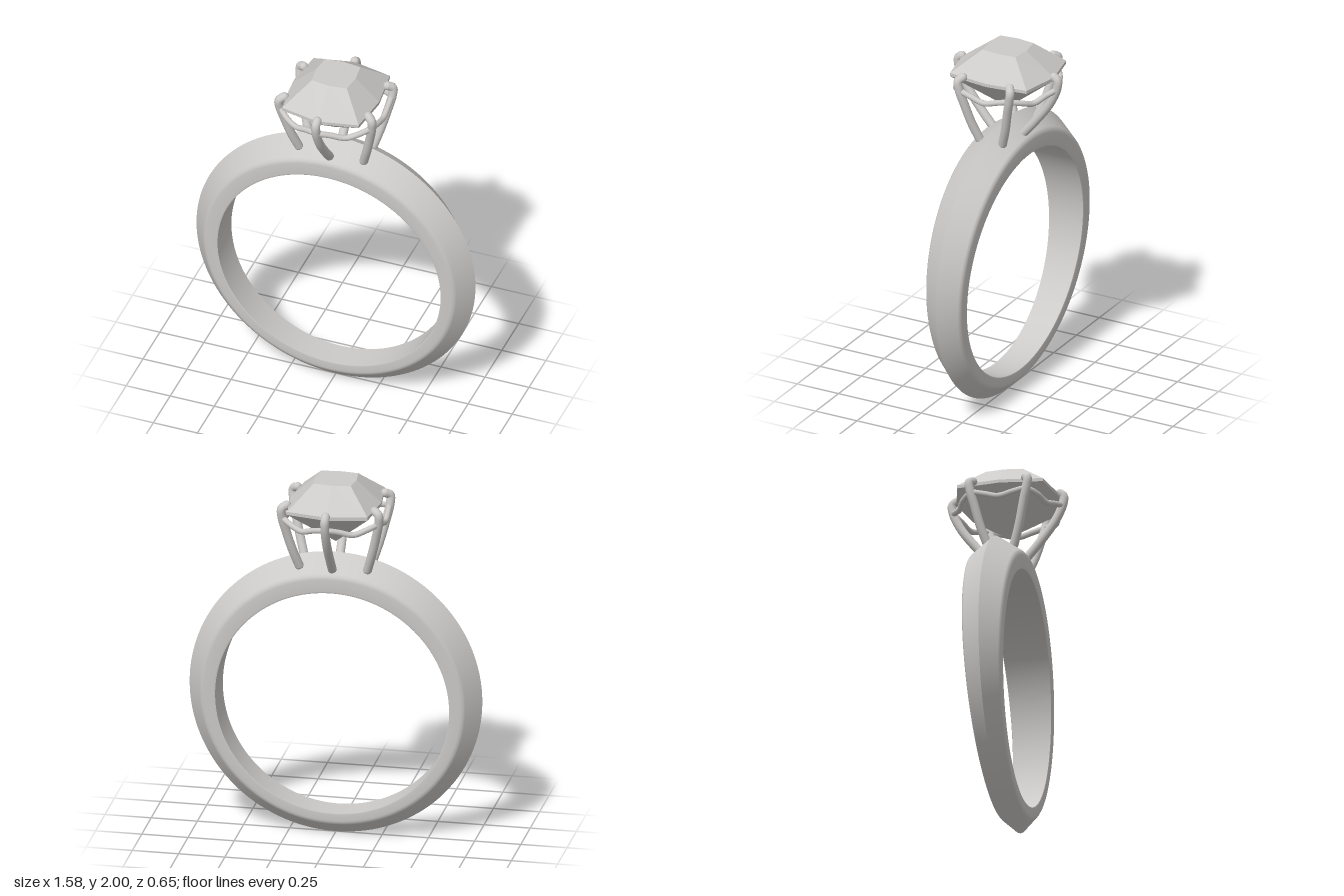
import * as THREE from 'three';

const metal = new THREE.MeshStandardMaterial({ color: 0xcccac8 });
metal.name = 'pale grey';

// Closed strip of quads between successive rings of points
function loft(rings, flat) {
  const n = rings[0].length, index = [];
  for (let j = 0; j < rings.length - 1; j++) {
    for (let i = 0; i < n; i++) {
      const k = (i + 1) % n, a = j * n, b = a + n;
      index.push(a + i, a + k, b + i, a + k, b + k, b + i);
    }
  }
  let g = new THREE.BufferGeometry();
  g.setAttribute('position', new THREE.Float32BufferAttribute(rings.flat(2), 3));
  g.setIndex(index);
  if (flat) g = g.toNonIndexed();
  g.computeVertexNormals();
  return g;
}

function add(parent, name, geometry) {
  const mesh = new THREE.Mesh(geometry, metal);
  mesh.name = name;
  parent.add(mesh);
  return mesh;
}

// Knife-edge band whose width grows from the bottom to the top
function buildBand() {
  const band = new THREE.Group();
  band.name = 'band';
  const ring = (radius, centre, width) => Array.from({ length: 128 }, (_, i) => {
    const t = (i / 128) * Math.PI * 2;
    const y = centre + radius * Math.sin(t);
    return [radius * Math.cos(t), y, width * (0.073 + 0.043 * y)];
  });
  // radius, centre height, share of the half width: ridge to inner edge
  const profile = [
    [0.792, 0.793, 0], [0.719, 0.783, 0.88], [0.708, 0.782, 0.96],
    [0.693, 0.779, 1], [0.64, 0.764, 1], [0.633, 0.7625, 0.97],
  ];
  const front = profile.map(([r, c, w]) => ring(r, c, w));
  const back = profile.map(([r, c, w]) => ring(r, c, -w)).reverse();
  add(band, 'bandFront', loft(front));
  add(band, 'bandInside', loft([front[5], back[0]]));
  add(band, 'bandBack', loft(back));
  return band;
}

// Cushion-cut stone: eight-sided rings from table to culet
function buildGem() {
  const ring = (y, midX, cornerX, cornerZ, midZ) => [
    [midX, y, 0], [cornerX, y, cornerZ], [0, y, midZ], [-cornerX, y, cornerZ],
    [-midX, y, 0], [-cornerX, y, -cornerZ], [0, y, -midZ], [cornerX, y, -cornerZ],
  ];
  const rings = [
    ring(1.645, 0, 0, 0, 0),
    ring(1.66, 0.018, 0.015, 0.016, 0.02),
    ring(1.862, 0.245, 0.217, 0.232, 0.278),
    ring(1.88, 0.245, 0.217, 0.232, 0.278),
    ring(2, 0.112, 0.1, 0.1, 0.112),
    ring(2, 0, 0, 0, 0),
  ];
  return loft(rings.reverse(), true);
}

const curve = (points, closed = false) =>
  new THREE.CatmullRomCurve3(points.map((p) => new THREE.Vector3(...p)), closed);

// Curved claw with a rounded tip folded over the stone
function buildProng(points, name) {
  const prong = new THREE.Group();
  prong.name = name;
  const path = curve(points), radius = 0.024;
  add(prong, 'claw', new THREE.TubeGeometry(path, 40, radius, 14));
  for (const end of [0, 1]) {
    add(prong, end ? 'clawTip' : 'clawFoot', new THREE.SphereGeometry(radius, 14, 10))
      .position.copy(path.getPoint(end));
  }
  return prong;
}

export function createModel() {
  const model = new THREE.Group();
  model.name = 'ring';
  model.add(buildBand());
  add(model, 'gem', buildGem());

  // Six prongs: one at the front and back, two on each side
  const middle = [[0, 1.51, 0.09], [0, 1.6, 0.165], [0, 1.72, 0.252],
    [0, 1.82, 0.297], [0, 1.868, 0.3], [0, 1.884, 0.28]];
  const side = [[0.185, 1.52, 0.07], [0.215, 1.62, 0.103], [0.243, 1.73, 0.13],
    [0.262, 1.82, 0.152], [0.262, 1.868, 0.158], [0.238, 1.884, 0.142]];
  for (const sz of [1, -1]) {
    const z = sz > 0 ? 'front' : 'back';
    model.add(buildProng(middle.map(([x, y, d]) => [x, y, d * sz]), z + 'Prong'));
    for (const sx of [1, -1]) {
      model.add(buildProng(side.map(([x, y, d]) => [x * sx, y, d * sz]),
        z + (sx > 0 ? 'Left' : 'Right') + 'Prong'));
    }
  }

  // Wavy wire that links the prongs and dips between them
  const wire = [
    [0, 1.81, 0.29], [0.07, 1.795, 0.262], [0.14, 1.775, 0.232], [0.205, 1.795, 0.2],
    [0.255, 1.81, 0.148], [0.264, 1.795, 0.08], [0.266, 1.775, 0],
    [0.264, 1.795, -0.08], [0.255, 1.81, -0.148], [0.205, 1.795, -0.2],
    [0.14, 1.775, -0.232], [0.07, 1.795, -0.262],
  ];
  const otherSide = wire.map(([x, y, z]) => [-x, y, -z]);
  add(model, 'galleryWire',
    new THREE.TubeGeometry(curve([...wire, ...otherSide], true), 160, 0.016, 10, true));
  return model;
}
